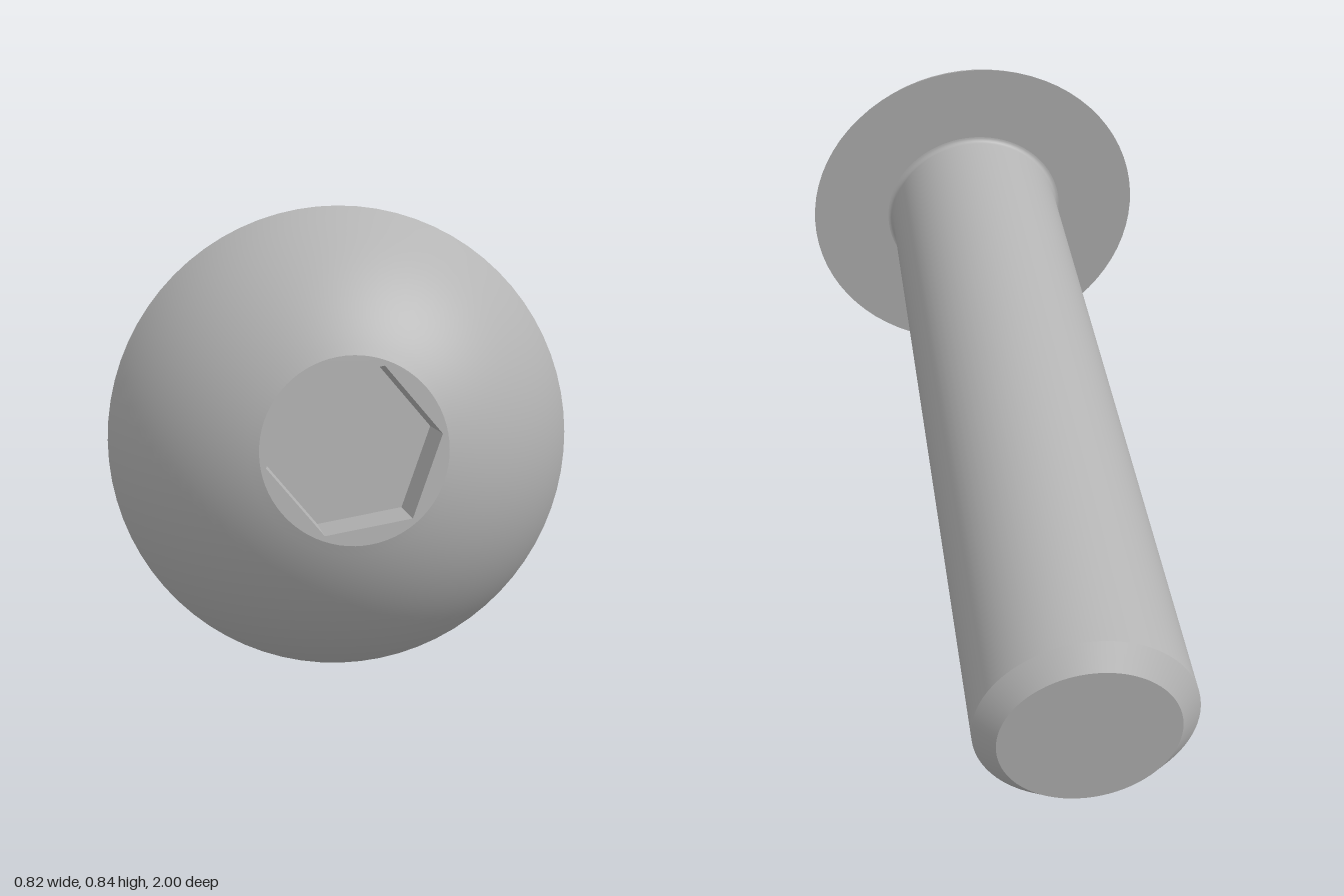
import * as THREE from 'three';

export function createModel() {
  const steel = new THREE.MeshStandardMaterial({ color: 0xb4b4b4 });
  const model = new THREE.Group();
  model.name = 'socketButtonScrew';

  // The screw is built along +z with the underside of the head at z = 0, then tilted.
  const screw = new THREE.Group();
  screw.name = 'screw';
  model.add(screw);

  const add = (name, geometry) => {
    const mesh = new THREE.Mesh(geometry, steel);
    mesh.name = name;
    screw.add(mesh);
  };
  // Turned surface from [radius, z] points; separate calls keep the edges sharp
  const turned = (name, points) => {
    const profile = points.map(([r, z]) => new THREE.Vector2(r, z));
    add(name, new THREE.LatheGeometry(profile, 72).rotateX(Math.PI / 2));
  };

  const headR = 0.41, headH = 0.24, flatR = 0.158;
  const shankR = 0.21, tailR = 0.17, tailZ = -1.737, chamferZ = -1.7;
  const hexR = 0.149, hexDepth = 0.13, hexTurn = Math.PI / 18;

  // Shank with chamfered tail and a small fillet under the head
  turned('tailFace', [[0, tailZ], [tailR, tailZ]]);
  turned('tailChamfer', [[tailR, tailZ], [shankR, chamferZ]]);
  const f = 0.012;
  const shank = [[shankR, chamferZ], [shankR, -0.06]];
  for (let i = 0; i <= 5; i++) {
    const a = (i / 5) * Math.PI / 2;
    shank.push([shankR + f * (1 - Math.cos(a)), -f + f * Math.sin(a)]);
  }
  turned('shank', shank);
  turned('headUnderside', [[shankR + f, 0], [headR, 0]]);

  // Domed head: a spherical arc from the rim to the flat around the socket
  const c = (flatR ** 2 + headH ** 2 - headR ** 2) / (2 * headH);
  const R = Math.hypot(headR, c);
  const a0 = Math.atan2(-c, headR), a1 = Math.atan2(headH - c, flatR);
  const dome = [];
  for (let i = 0; i <= 20; i++) {
    const a = a0 + (a1 - a0) * i / 20;
    dome.push([R * Math.cos(a), c + R * Math.sin(a)]);
  }
  turned('headDome', dome);

  // Flat ring with the hexagonal opening
  const ring = new THREE.Shape().absarc(0, 0, flatR, 0, Math.PI * 2);
  const corners = [];
  for (let i = 0; i < 6; i++) {
    const a = hexTurn + i * Math.PI / 3;
    corners.push(new THREE.Vector2(hexR * Math.cos(a), hexR * Math.sin(a)));
  }
  ring.holes.push(new THREE.Path(corners));
  add('headFlat', new THREE.ShapeGeometry(ring, 36).translate(0, 0, headH));

  // Hex socket: inward-facing walls and floor
  const walls = new THREE.LatheGeometry(
    [new THREE.Vector2(hexR, headH), new THREE.Vector2(hexR, headH - hexDepth)],
    6, hexTurn + Math.PI / 2
  ).rotateX(Math.PI / 2).toNonIndexed();
  walls.computeVertexNormals();
  add('socketWalls', walls);
  add('socketFloor', new THREE.CircleGeometry(hexR, 6, hexTurn).translate(0, 0, headH - hexDepth));

  // Tilt the axis and rest the tail on the ground
  const axis = new THREE.Vector3(0.065, 0.136, 1).normalize();
  screw.quaternion.setFromUnitVectors(new THREE.Vector3(0, 0, 1), axis);
  screw.position.set(0, 0.438, 0.74);
  return model;
}
